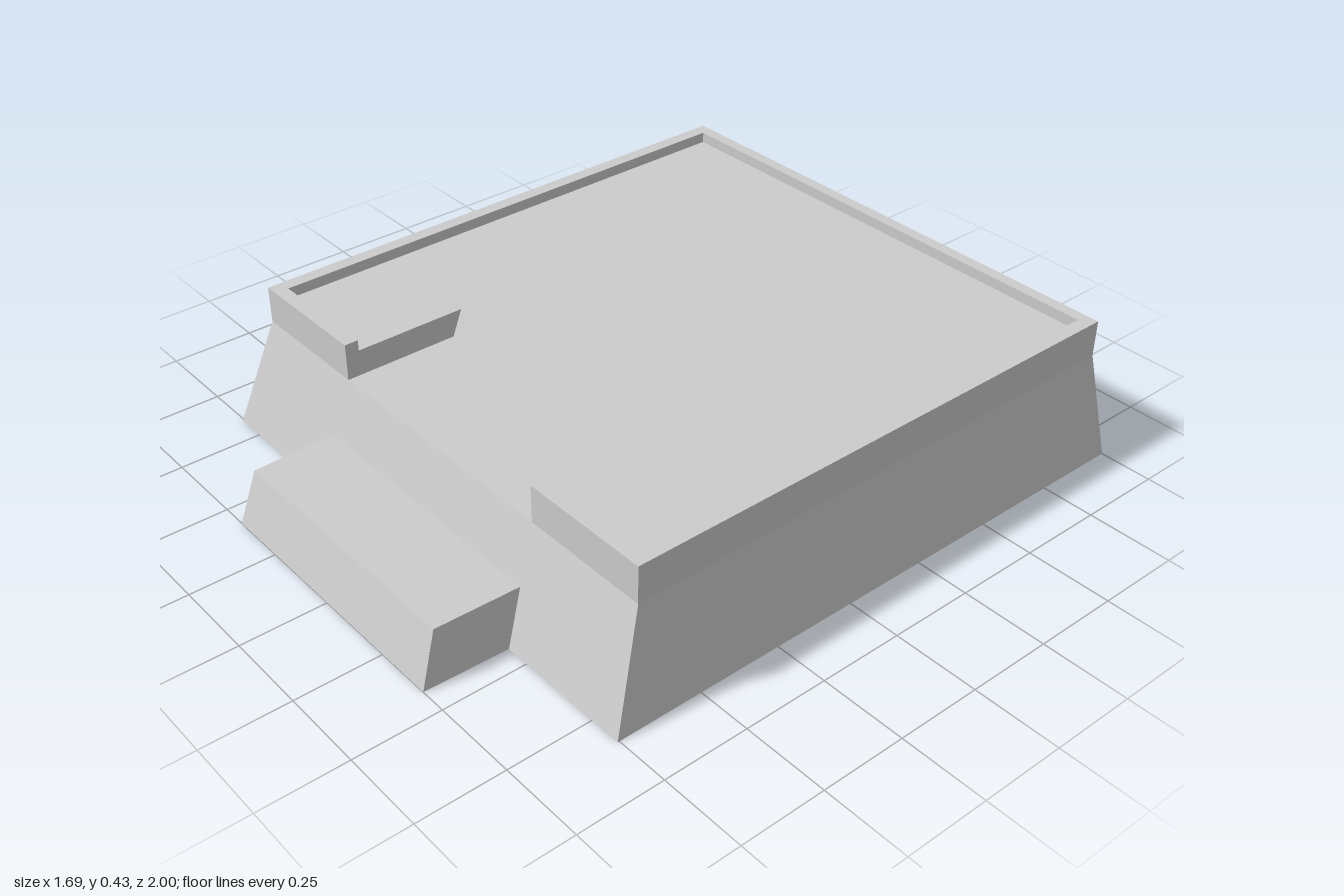
import * as THREE from 'three';

const material = new THREE.MeshStandardMaterial({ color: 0xcccccc, flatShading: true });

// Extrudes a plan outline of [x, z] points upward from y0 to y1.
function slab(points, y0, y1) {
  const shape = new THREE.Shape(points.map(([x, z]) => new THREE.Vector2(x, -z)));
  const geometry = new THREE.ExtrudeGeometry(shape, { depth: y1 - y0, bevelEnabled: false });
  return geometry.rotateX(-Math.PI / 2).translate(0, y0, 0);
}

// Box whose bottom and top are given as { back: [halfX, z], front: [halfX, z] }.
function taperedBlock(height, bottom, top) {
  const geometry = new THREE.BoxGeometry(2, 1, 2);
  const p = geometry.attributes.position;
  for (let i = 0; i < p.count; i++) {
    const level = p.getY(i) > 0 ? top : bottom;
    const [halfX, z] = p.getZ(i) > 0 ? level.front : level.back;
    p.setXYZ(i, Math.sign(p.getX(i)) * halfX, p.getY(i) > 0 ? height : 0, z);
  }
  geometry.computeVertexNormals();
  return geometry;
}

export function createModel() {
  const model = new THREE.Group();
  const add = (name, geometry) => {
    const mesh = new THREE.Mesh(geometry, material);
    mesh.name = name;
    model.add(mesh);
  };

  const shoulderY = 0.317, deckY = 0.393, rimY = 0.425;
  const halfW = 0.79, back = -0.955, front = 0.65; // upper walls
  const innerW = 0.75, innerBack = -0.92, innerFront = 0.61; // inside of the rim
  const notchW = 0.4, notchTop = 0.28, notchFoot = 0.31;

  // Sloping plinth
  add('base', taperedBlock(shoulderY,
    { back: [0.843, -1], front: [0.843, 0.755] },
    { back: [halfW, back], front: [halfW, front] }));

  // Deck with an entrance recess cut into its front
  const deck = slab([
    [-halfW, back], [halfW, back], [halfW, front], [notchW, front],
    [notchW, notchTop], [-notchW, notchTop], [-notchW, front], [-halfW, front],
  ], shoulderY, deckY);
  // Lean the back of the recess
  const p = deck.attributes.position;
  for (let i = 0; i < p.count; i++) {
    if (Math.abs(p.getZ(i) - notchTop) < 1e-3 && p.getY(i) < shoulderY + 1e-3) p.setZ(i, notchFoot);
  }
  deck.computeVertexNormals();
  add('deck', deck);

  // Low rim, open at the recess
  add('rim', slab([
    [-halfW, back], [halfW, back], [halfW, front], [notchW, front],
    [notchW, innerFront], [innerW, innerFront], [innerW, innerBack],
    [-innerW, innerBack], [-innerW, innerFront], [-notchW, innerFront],
    [-notchW, front], [-halfW, front],
  ], deckY, rimY));

  // Entrance step, its back following the slope of the base
  add('step', taperedBlock(0.157,
    { back: [0.43, 0.755], front: [0.422, 1] },
    { back: [0.415, 0.7], front: [0.408, 0.95] }));

  return model;
}
